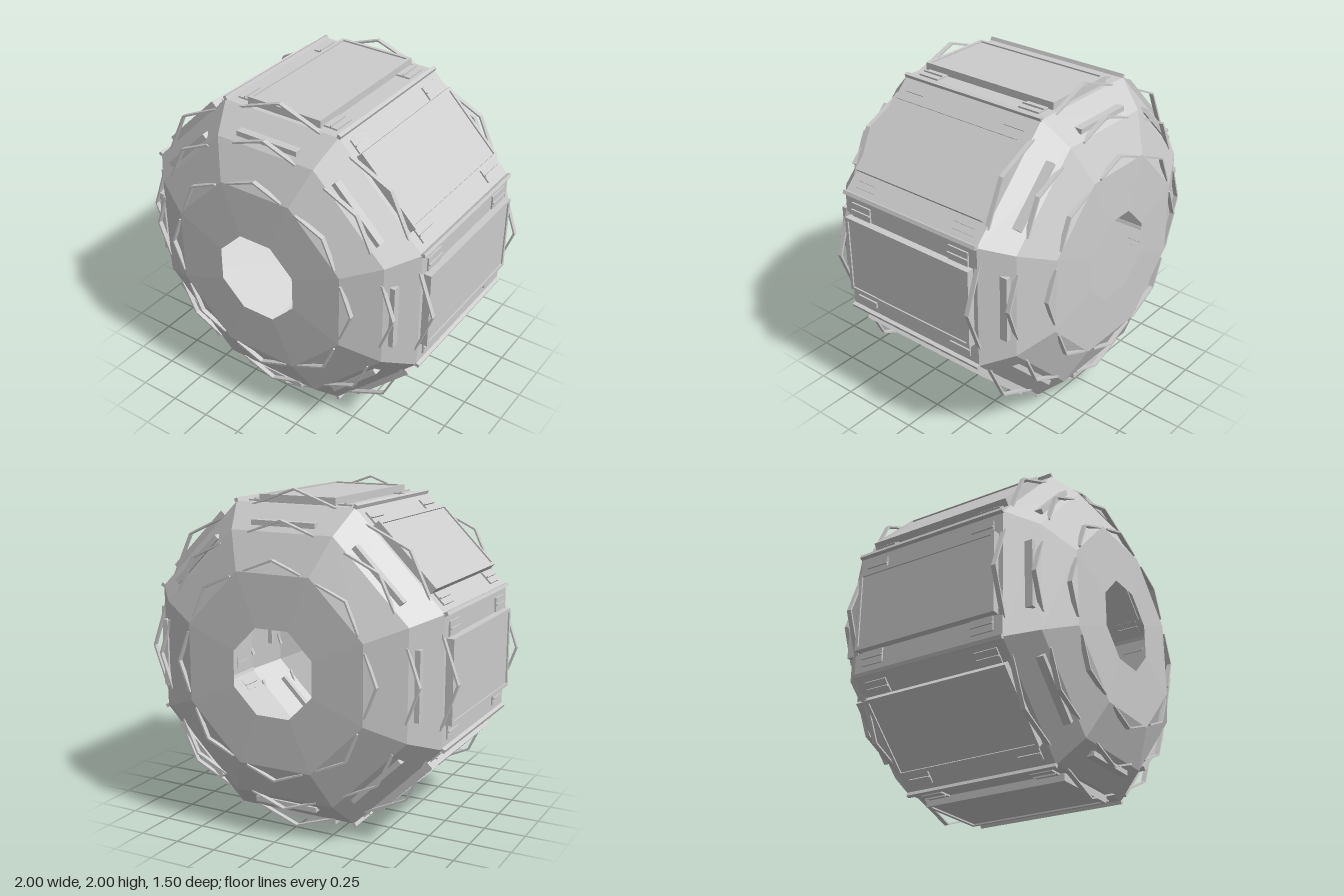
import * as THREE from 'three';

const SIDES = 8;
const STEP = (Math.PI * 2) / SIDES;
const CORNER = 1 / Math.cos(STEP / 2); // flat distance -> corner distance

const grey = new THREE.MeshStandardMaterial({
  color: 0xcccccc, flatShading: true, side: THREE.DoubleSide,
});

function add(parent, name, geometry, x = 0, y = 0, z = 0) {
  const mesh = new THREE.Mesh(geometry, grey);
  mesh.name = name;
  mesh.position.set(x, y, z);
  parent.add(mesh);
  return mesh;
}

// box given by its extents on each axis
function block(parent, name, x0, x1, y0, y1, z0, z1) {
  return add(parent, name, new THREE.BoxGeometry(x1 - x0, y1 - y0, z1 - z0),
    (x0 + x1) / 2, (y0 + y1) / 2, (z0 + z1) / 2);
}

// thin bent strip with its peak at radius r, legs falling to both sides
function chevron(parent, name, r, halfWidth, drop, z0, z1) {
  const t = 0.011;
  const shape = new THREE.Shape([
    [0, r], [halfWidth, r - drop], [halfWidth, r - drop - t],
    [0, r - t], [-halfWidth, r - drop - t], [-halfWidth, r - drop],
  ].map(([x, y]) => new THREE.Vector2(x, y)));
  const geometry = new THREE.ExtrudeGeometry(shape, { depth: z1 - z0, bevelEnabled: false });
  add(parent, name, geometry, 0, 0, z0);
}

// everything mounted on one side of the octagon, built pointing up
function sideFittings() {
  const side = new THREE.Group();
  side.name = 'sideFittings';

  // raised panel with a thin rim
  block(side, 'panel', -0.235, 0.235, 0.9, 0.946, -0.455, 0.455);
  for (const s of [-1, 1]) {
    block(side, 'panelRimLong', s * 0.232 - 0.01, s * 0.232 + 0.01, 0.9, 0.955, -0.46, 0.46);
    block(side, 'panelRimShort', -0.225, 0.225, 0.9, 0.955, s * 0.45 - 0.01, s * 0.45 + 0.01);
  }

  // clips beside the panel
  for (const sx of [-1, 1]) {
    for (const sz of [-1, 1]) {
      add(side, 'clipPlate', new THREE.BoxGeometry(0.085, 0.012, 0.14), sx * 0.288, 0.914, sz * 0.362);
      add(side, 'clipFin', new THREE.BoxGeometry(0.008, 0.03, 0.14), sx * 0.288, 0.915, sz * 0.362);
    }
  }

  // bars and bent strips, the same on both ends
  for (const s of [-1, 1]) {
    const span = (a, b) => (s > 0 ? [a, b] : [-b, -a]);
    block(side, 'bar', -0.2, 0.2, 0.8, 0.83, ...span(0.57, 0.62));
    chevron(side, 'outerChevron', 1.0, 0.27, 0.097, ...span(0.47, 0.498));
    chevron(side, 'middleChevron', 0.842, 0.21, 0.075, ...span(0.62, 0.648));
    chevron(side, 'innerChevron', 0.637, 0.18, 0.07, ...span(0.72, 0.748));
  }
  return side;
}

export function createModel() {
  const model = new THREE.Group();
  model.name = 'octagonalDrum';
  const drum = new THREE.Group();
  drum.name = 'drum';
  drum.position.y = 1;
  model.add(drum);

  // hollow faceted shell with an opening at each end
  const half = [[0.25, 0.752], [0.555, 0.74], [0.77, 0.637], [0.91, 0.487]];
  const profile = [
    ...half.map(([r, z]) => [r, -z]),
    ...half.slice().reverse(),
  ].map(([r, z]) => new THREE.Vector2(r * CORNER, z));
  const shell = new THREE.LatheGeometry(profile, SIDES, STEP / 2);
  shell.rotateX(Math.PI / 2);
  add(drum, 'shell', shell);

  for (let i = 0; i < SIDES; i++) {
    const side = sideFittings();
    side.rotation.z = i * STEP;
    drum.add(side);

    // rail along each corner edge
    const corner = new THREE.Group();
    corner.name = 'cornerRail';
    corner.rotation.z = (i + 0.5) * STEP;
    block(corner, 'rail', -0.011, 0.011, 0.97, 1.003, -0.49, 0.49);
    drum.add(corner);
  }
  return model;
}
